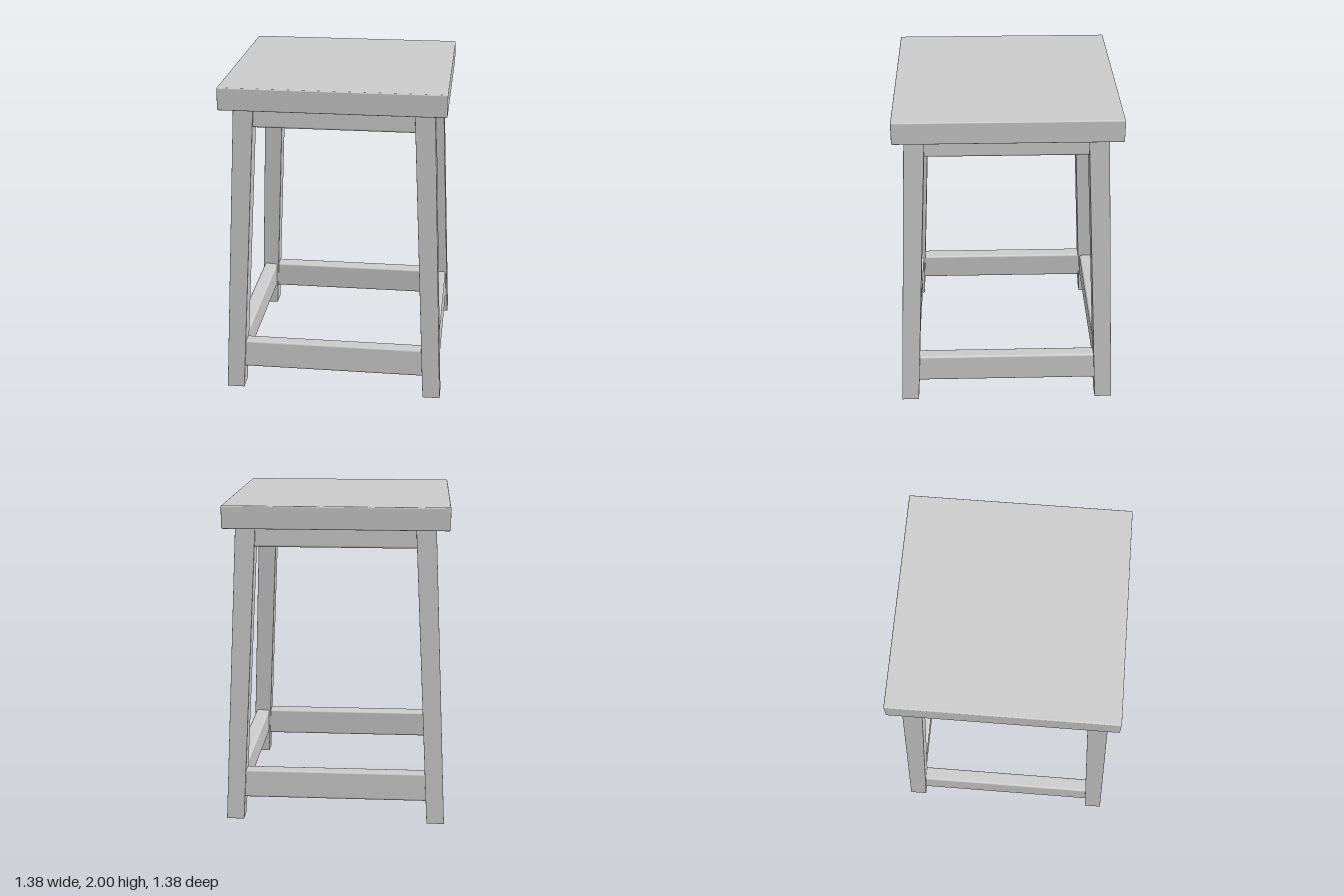
import * as THREE from 'three';
import { RoundedBoxGeometry } from 'three/addons/geometries/RoundedBoxGeometry.js';

const SEAT_Y = 1.86; // underside of the seat
const material = new THREE.MeshStandardMaterial({ color: 0xcccccc });

// Centre line and width of a leg at height y
const legCentre = (y) => THREE.MathUtils.lerp(0.634, 0.547, y / SEAT_Y);
const legWidth = (y) => THREE.MathUtils.lerp(0.11, 0.122, y / SEAT_Y);

function part(name, geometry, x, y, z) {
  const mesh = new THREE.Mesh(geometry, material);
  mesh.name = name;
  mesh.position.set(x, y, z);
  return mesh;
}

// Square leg with eased edges, tapering down and splayed outward on both axes
function legGeometry(sx, sz) {
  const g = new RoundedBoxGeometry(1, SEAT_Y + 0.02, 1, 2, 0.01);
  g.scale(0.11, 1, 0.11);
  g.translate(0, (SEAT_Y + 0.02) / 2, 0);
  const p = g.attributes.position;
  for (let i = 0; i < p.count; i++) {
    const y = p.getY(i);
    const grow = legWidth(y) / 0.11;
    p.setX(i, p.getX(i) * grow + sx * legCentre(y));
    p.setZ(i, p.getZ(i) * grow + sz * legCentre(y));
  }
  g.computeVertexNormals();
  return g;
}

// Four rails joining the legs, leaning with them
function railRing(name, y0, y1, thickness) {
  const group = new THREE.Group();
  group.name = name;
  const mid = (y0 + y1) / 2;
  const lean = Math.atan((legCentre(0) - legCentre(SEAT_Y)) / SEAT_Y);
  for (let i = 0; i < 4; i++) {
    const side = new THREE.Group();
    side.name = name + 'Side';
    side.rotation.y = (i * Math.PI) / 2;
    const length = 2 * legCentre(mid) - 0.06;
    const rail = part(name + 'Rail', new RoundedBoxGeometry(length, y1 - y0, thickness, 3, 0.014), 0, mid, legCentre(mid));
    rail.rotation.x = -lean;
    side.add(rail);
    group.add(side);
  }
  return group;
}

export function createModel() {
  const model = new THREE.Group();
  model.name = 'stool';

  // Seat slab
  model.add(part('seat', new RoundedBoxGeometry(1.37, 2 - SEAT_Y, 1.365, 3, 0.008), -0.005, (2 + SEAT_Y) / 2, -0.006));

  // Legs
  for (const sx of [-1, 1]) {
    for (const sz of [-1, 1]) {
      model.add(part((sz > 0 ? 'front' : 'back') + (sx > 0 ? 'Left' : 'Right') + 'Leg', legGeometry(sx, sz), 0, 0, 0));
    }
  }

  // Apron under the seat and stretchers near the floor
  model.add(railRing('apron', 1.735, SEAT_Y + 0.02, 0.095));
  model.add(railRing('stretcher', 0.14, 0.32, 0.09));
  return model;
}
